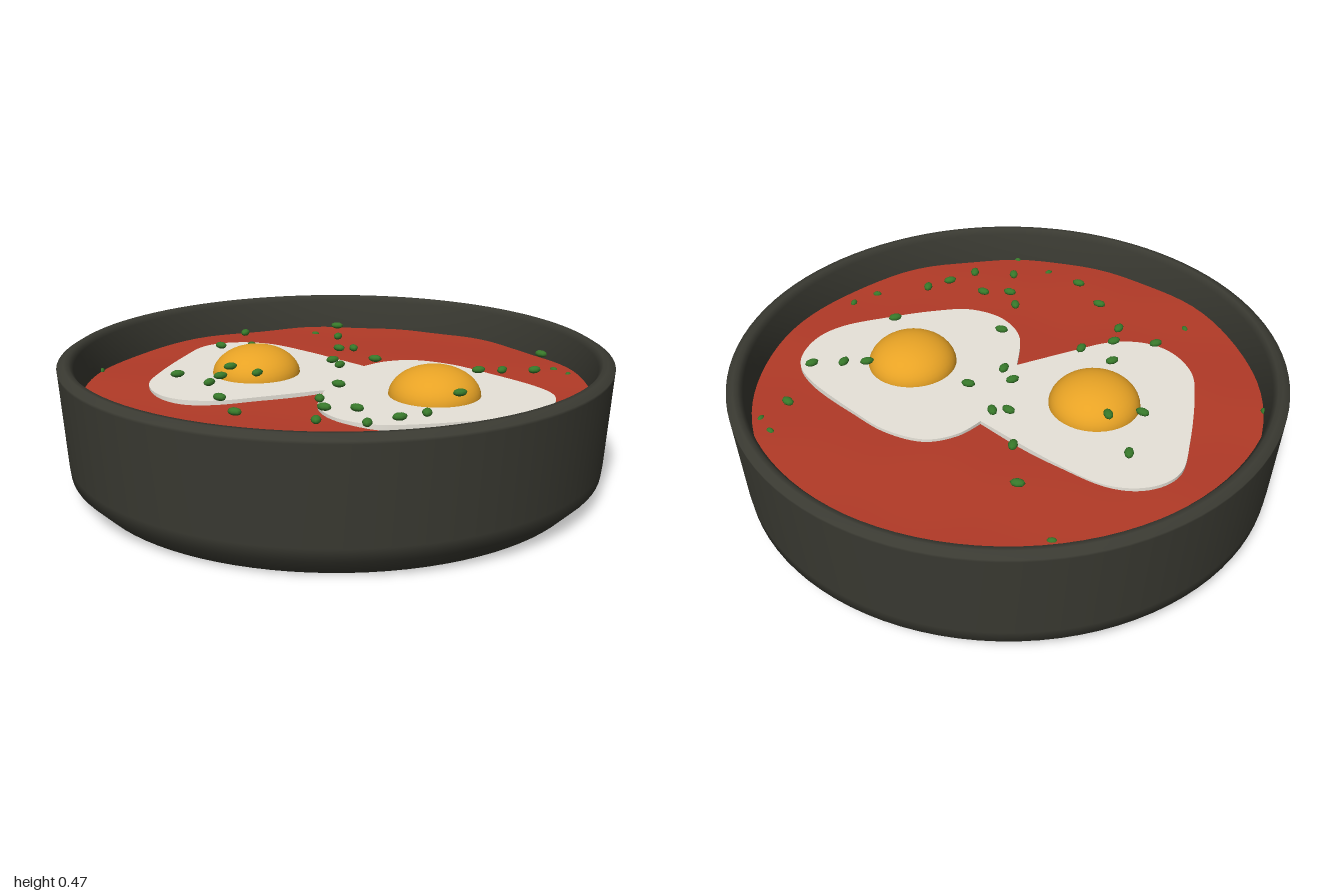
import * as THREE from 'three';

const mat = (name, color) => {
  const m = new THREE.MeshStandardMaterial({ color });
  m.name = name;
  return m;
};
const points = (list) => list.map(([x, y]) => new THREE.Vector2(x, y));

export function createModel() {
  const group = new THREE.Group();
  const iron = mat('cast iron', 0x3a3a32);
  const red = mat('tomato sauce', 0xb23a27);
  const white = mat('egg white', 0xe8e4da);
  const yellow = mat('egg yolk', 0xe8a325);
  const green = mat('herb green', 0x37782a);

  const add = (name, geometry, material, x = 0, y = 0, z = 0, parent = group) => {
    const mesh = new THREE.Mesh(geometry, material);
    mesh.name = name;
    mesh.position.set(x, y, z);
    parent.add(mesh);
    return mesh;
  };

  // Pan: one turned profile, from the underside over the rim to the inner floor
  const profile = points([
    [0, 0], [0.88, 0], [0.91, 0], [0.975, 0.065], [0.98, 0.11], [0.999, 0.44], [1, 0.45],
    [0.975, 0.465], [0.958, 0.465], [0.942, 0.445], [0.927, 0.33], [0.9, 0.08], [0, 0.06],
  ]);
  add('pan', new THREE.LatheGeometry(profile, 96), iron);

  // Sauce: a disc with soft ripples
  const sauce = new THREE.RingGeometry(0, 0.931, 96, 24).rotateX(-Math.PI / 2);
  const pos = sauce.attributes.position;
  for (let i = 0; i < pos.count; i++) {
    const x = pos.getX(i), z = pos.getZ(i);
    const ripple = Math.sin(7 * x + 3 * z) * Math.cos(6 * z - 2 * x) + 0.5 * Math.sin(13 * x - 9 * z);
    pos.setY(i, 0.327 + 0.005 * ripple);
  }
  sauce.computeVertexNormals();
  add('sauce', sauce, red);

  // Egg whites: two rounded lobes that meet at two sharp notches
  const outline = new THREE.Shape();
  outline.moveTo(-0.075, -0.215);
  outline.splineThru(points([
    [-0.065, -0.33], [0, -0.43], [0.14, -0.485], [0.3, -0.49], [0.55, -0.475], [0.68, -0.42],
    [0.75, -0.29], [0.74, -0.15], [0.65, 0.02], [0.56, 0.16], [0.46, 0.27], [0.32, 0.31],
    [0.18, 0.26], [0.06, 0.115],
  ]));
  outline.splineThru(points([
    [-0.03, 0.32], [-0.1, 0.465], [-0.2, 0.555], [-0.32, 0.575], [-0.45, 0.52], [-0.55, 0.4],
    [-0.68, 0.19], [-0.755, 0.03], [-0.72, -0.1], [-0.6, -0.19], [-0.4, -0.217], [-0.075, -0.223],
  ]));
  const egg = new THREE.ExtrudeGeometry(outline, { depth: 0.03, bevelEnabled: false, curveSegments: 60 });
  add('eggWhites', egg.rotateX(Math.PI / 2), white, 0, 0.341, 0);

  // Yolks
  const yolk = new THREE.SphereGeometry(0.166, 40, 24);
  for (const [x, z] of [[-0.302, 0.13], [0.365, -0.135]]) {
    add('yolk', yolk, yellow, x, 0.335, z).scale.y = 0.66;
  }

  // Chopped herbs, as [x, z] spots; the second list is half sunk in the sauce
  const herbs = new THREE.Group();
  herbs.name = 'herbs';
  group.add(herbs);
  const leaf = new THREE.SphereGeometry(0.026, 8, 6).scale(1, 0.5, 0.65);
  const scattered = [
    [0.44, -0.66], [-0.44, -0.43], [-0.3, -0.3], [0.56, -0.455], [0.48, -0.37], [0.42, -0.31],
    [-0.12, -0.21], [-0.16, -0.17], [0.05, -0.155], [-0.61, -0.07], [-0.05, -0.03], [0.02, 0],
    [0.56, -0.04], [-0.43, 0.045], [-0.51, 0.135], [0.2, 0.18], [0.63, 0.205], [-0.24, 0.305],
    [-0.105, 0.29], [0.6, 0.3], [0.28, 0.345], [0.44, 0.33], [0.36, 0.4], [0.57, 0.415],
    [-0.165, 0.41], [-0.125, 0.49], [-0.29, 0.505], [0.44, 0.51], [0.04, 0.575], [0.2, 0.64],
  ];
  const sunken = [
    [0.44, -0.75], [0.52, -0.73], [-0.64, -0.49], [-0.25, 0.76], [0.43, 0.72], [0.6, 0.71],
    [0.86, 0], [0.84, 0.11], [-0.77, 0.52],
  ];
  scattered.forEach(([x, z], i) => {
    add('herb', leaf, green, x, 0.408, z, herbs).rotation.y = Math.sin(i * 2.7) * 1.3;
  });
  sunken.forEach(([x, z], i) => {
    const herb = add('sunkenHerb', leaf, green, x, 0.325, z, herbs);
    herb.rotation.y = i * 1.9;
    herb.scale.set(0.7, 1, 0.7);
  });

  return group;
}
